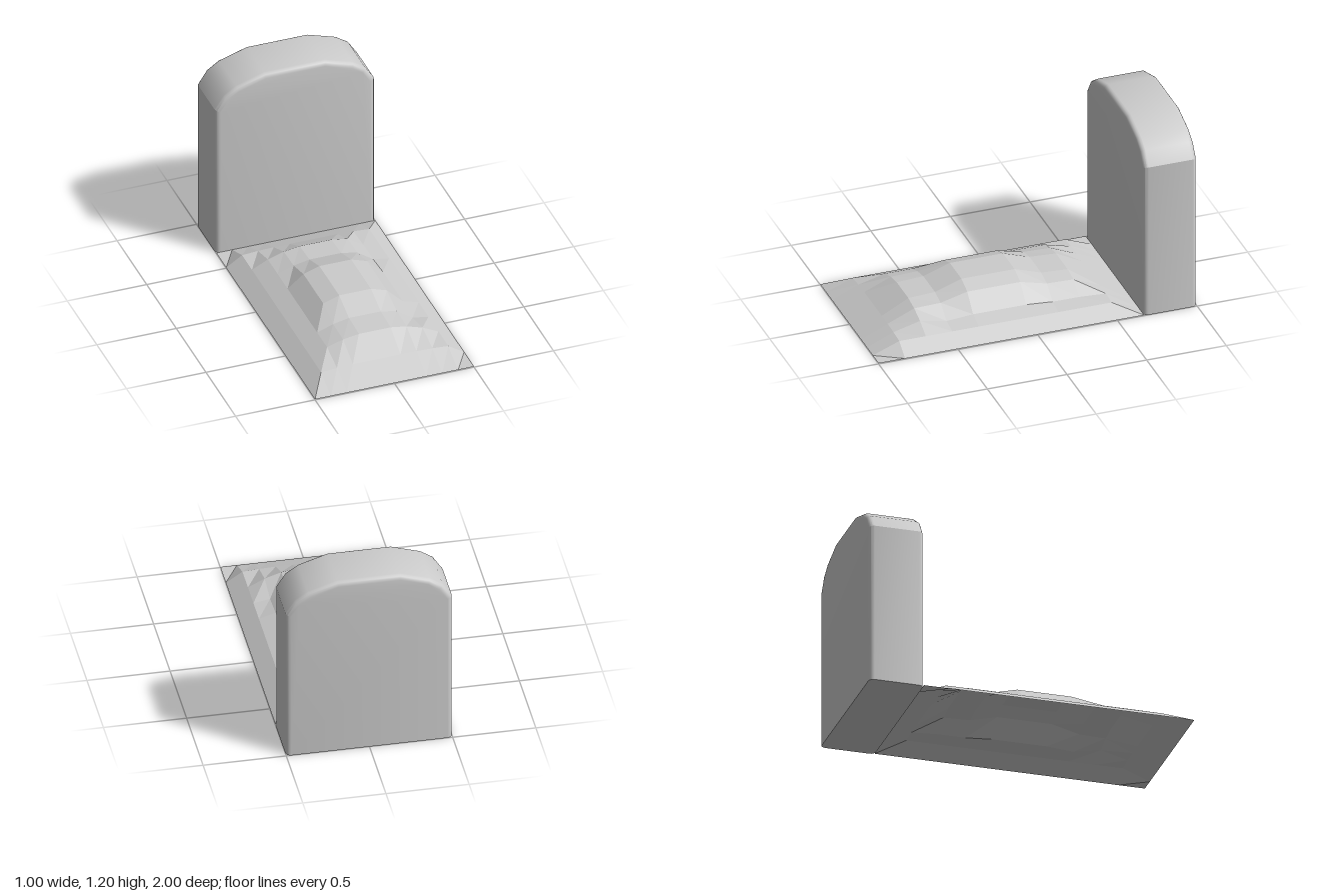
import * as THREE from 'three';
import { toCreasedNormals } from 'three/addons/utils/BufferGeometryUtils.js';

const grey = (options = {}) => new THREE.MeshStandardMaterial({ color: 0xcccccc, ...options });

// Upright slab with a faceted arch top, rounded edges and a flat base
function createHeadstone() {
  const half = [[0.5, -0.1], [0.5, 1.0], [0.443, 1.088], [0.367, 1.139], [0.19, 1.195]];
  const outline = [...half, ...half.map(([x, y]) => [-x, y]).reverse()];
  const shape = new THREE.Shape(outline.map(([x, y]) => new THREE.Vector2(x, y)));
  const bevel = 0.03, depth = 0.333;
  const geometry = new THREE.ExtrudeGeometry(shape, {
    depth: depth - 2 * bevel,
    bevelThickness: bevel,
    bevelSize: bevel,
    bevelOffset: -bevel,
    bevelSegments: 4,
  });
  geometry.translate(0, 0, -1 + bevel);

  // Cut the base flat at ground level
  const position = geometry.attributes.position;
  for (let i = 0; i < position.count; i++) position.setY(i, Math.max(0, position.getY(i)));

  const mesh = new THREE.Mesh(toCreasedNormals(geometry, THREE.MathUtils.degToRad(31)), grey());
  mesh.name = 'headstone';
  return mesh;
}

// Faceted earth mound: a grid raised by a few cross-sections from back to front
function createMound() {
  const flat = new Array(11).fill(0);
  const end = [0, 0.065, 0.072, 0.075, 0.075, 0.075, 0.075, 0.075, 0.072, 0.065, 0];
  const low = [0, 0.065, 0.115, 0.147, 0.163, 0.163, 0.163, 0.147, 0.115, 0.065, 0];
  const dipped = [0, 0.065, 0.115, 0.152, 0.172, 0.172, 0.172, 0.152, 0.082, 0.065, 0];
  const high = [0, 0.065, 0.115, 0.195, 0.229, 0.229, 0.229, 0.195, 0.095, 0.065, 0];
  const lowDipped = dipped.map((y, i) => Math.min(y, low[i]));
  const rows = [flat, end, lowDipped, dipped, high, high, high, dipped, low, end, flat];

  const geometry = new THREE.PlaneGeometry(1, 5 / 3, 10, 10);
  geometry.rotateX(-Math.PI / 2);
  geometry.translate(0, 0, 1 / 6);
  const position = geometry.attributes.position;
  rows.flat().forEach((y, i) => position.setY(i, y + 0.004));
  geometry.computeVertexNormals();

  const mesh = new THREE.Mesh(geometry, grey({ flatShading: true, side: THREE.DoubleSide }));
  mesh.name = 'earthMound';
  return mesh;
}

export function createModel() {
  const group = new THREE.Group();
  group.name = 'grave';
  group.add(createHeadstone(), createMound());
  return group;
}
